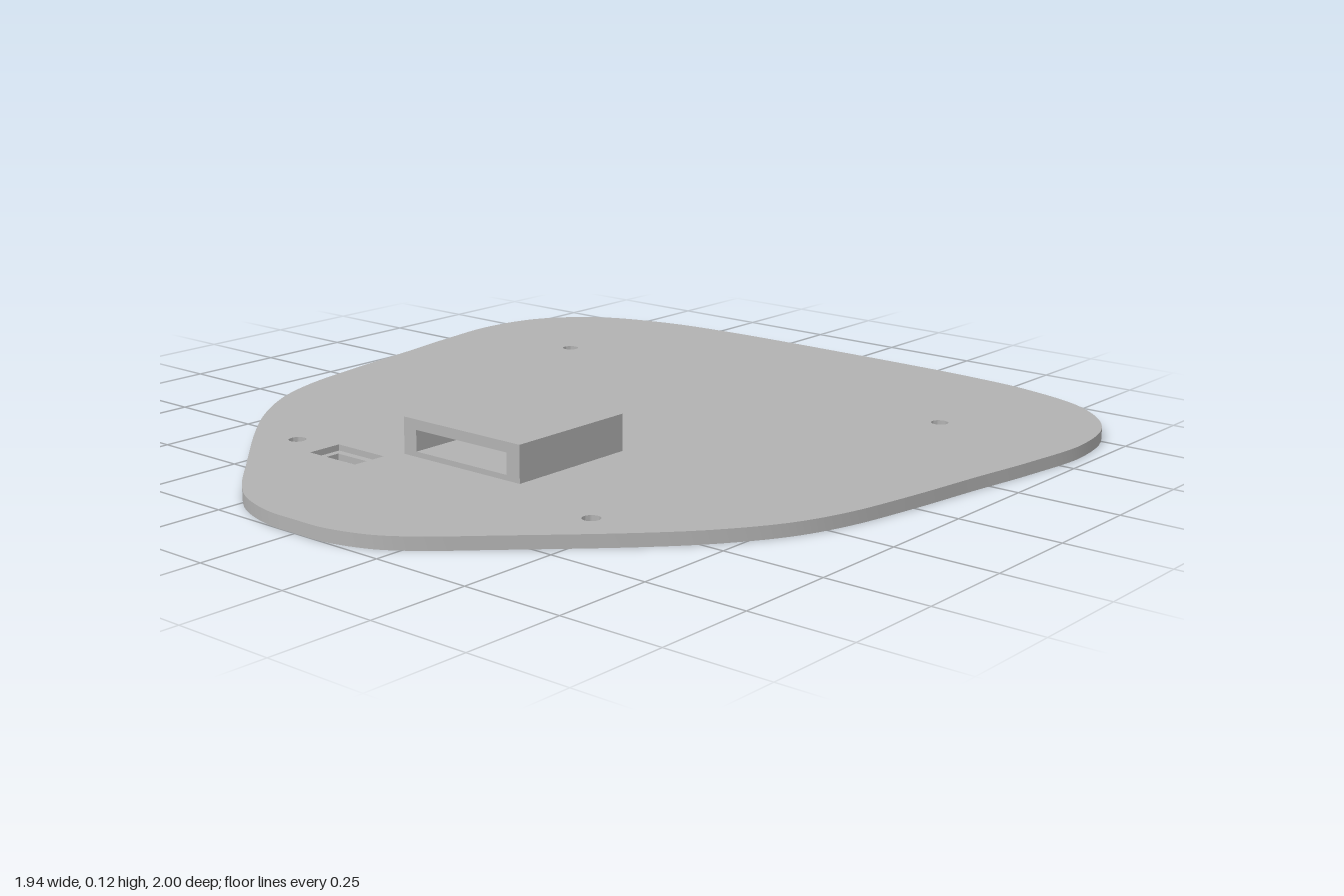
import * as THREE from 'three';
import { toCreasedNormals } from 'three/addons/utils/BufferGeometryUtils.js';

const THICK = 0.031;

// Rectangle contour, usable as a shape or a hole
function rect(x0, y0, x1, y1, Type = THREE.Path) {
  return new Type([[x0, y0], [x1, y0], [x1, y1], [x0, y1]].map(p => new THREE.Vector2(...p)));
}

// Extrude without bevel along +z
function extrude(shape, depth) {
  return new THREE.ExtrudeGeometry(shape, { depth, bevelEnabled: false, curveSegments: 24 });
}

export function createModel() {
  const model = new THREE.Group();
  const grey = new THREE.MeshStandardMaterial({ color: 0xb2b2b2 });
  grey.name = 'grey';

  function add(name, geometry) {
    const mesh = new THREE.Mesh(geometry, grey);
    mesh.name = name;
    model.add(mesh);
    return mesh;
  }

  // Half outline of the plate as (x, z), from the wide back to the narrow front
  const half = [
    [0.2, -0.999], [0.4, -0.993], [0.6, -0.97], [0.8, -0.9], [0.925, -0.77], [0.967, -0.6],
    [0.95, -0.4], [0.918, -0.2], [0.889, 0], [0.85, 0.2], [0.8, 0.335], [0.71, 0.475],
    [0.6, 0.6], [0.4, 0.795], [0.28, 0.908], [0.2, 0.963], [0.09, 0.997],
  ];
  const right = half.map(([x, z]) => new THREE.Vector3(x, -z, 0));
  const left = half.map(([x, z]) => new THREE.Vector3(-x, -z, 0)).reverse();
  const loop = new THREE.CatmullRomCurve3(
    [new THREE.Vector3(0, 1, 0), ...right, new THREE.Vector3(0, -1, 0), ...left], true);
  const outline = loop.getPoints(216).slice(0, -1).map(p => new THREE.Vector2(p.x, p.y));
  const plate = new THREE.Shape(outline);

  // Four mounting holes and the slot
  for (const side of [-1, 1]) {
    for (const [x, z] of [[0.606, -0.545], [0.465, 0.585]]) {
      plate.holes.push(new THREE.Path().absarc(side * x, -z, 0.021, 0, Math.PI * 2));
    }
  }
  plate.holes.push(rect(-0.358, -0.64, -0.205, -0.55));
  add('plate', toCreasedNormals(extrude(plate, THICK).rotateX(-Math.PI / 2), 0.6));

  // Recessed ledge around the through slot
  const ledge = rect(-0.358, -0.64, -0.205, -0.55, THREE.Shape);
  ledge.holes.push(rect(-0.34, -0.622, -0.224, -0.569));
  add('slotLedge', extrude(ledge, 0.016).rotateX(-Math.PI / 2));

  // Housing open to the front, closed at the back
  const frame = rect(-0.183, THICK, 0.183, 0.121, THREE.Shape);
  frame.holes.push(rect(-0.143, 0.044, 0.143, 0.096));
  add('housing', extrude(frame, 0.35)).position.z = 0.154;
  add('housingBack', new THREE.BoxGeometry(0.286, 0.052, 0.04)).position.set(0, 0.07, 0.174);

  return model;
}
